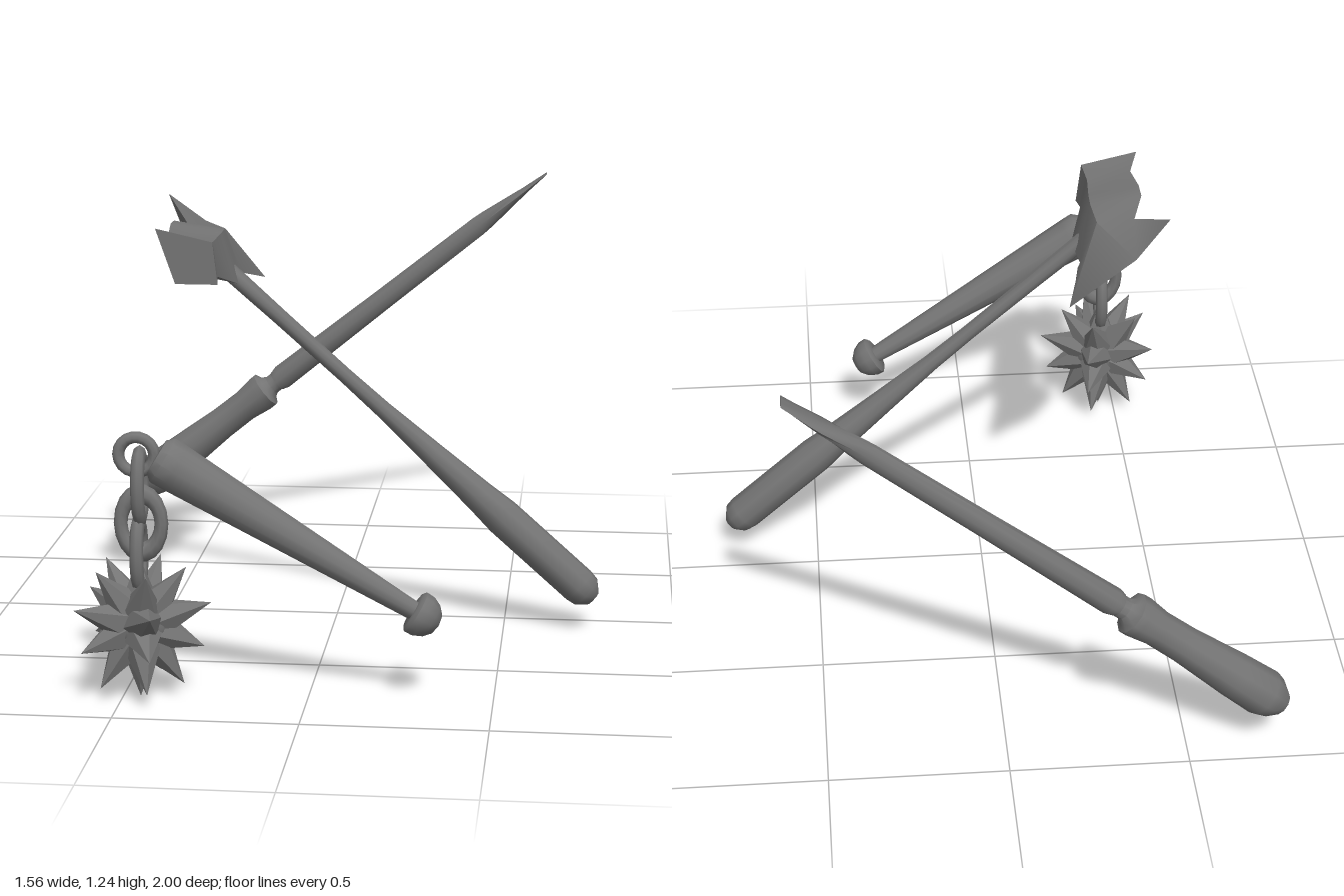
import * as THREE from 'three';
import { toCreasedNormals } from 'three/addons/utils/BufferGeometryUtils.js';

const darkGrey = new THREE.MeshStandardMaterial({ color: 0x747474 });
const V = (x, y, z) => new THREE.Vector3(x, y, z);

function part(parent, name, geometry, crease = 0.8) {
  const mesh = new THREE.Mesh(toCreasedNormals(geometry, crease), darkGrey);
  mesh.name = name;
  parent.add(mesh);
  return mesh;
}

// Turned rod along +y; each ring is [height, radius, optional z radius]
function rod(rings, sides = 10) {
  const geo = new THREE.LatheGeometry(rings.map(([s, r]) => new THREE.Vector2(r, s)), sides);
  const p = geo.attributes.position;
  for (let i = 0; i < p.count; i++) {
    const [, r, rz] = rings[i % rings.length];
    if (rz) p.setZ(i, p.getZ(i) * rz / r);
  }
  return geo;
}

// Group standing at a point with its y axis along a direction
function along(parent, name, position, direction) {
  const g = new THREE.Group();
  g.name = name;
  g.position.copy(position);
  g.quaternion.setFromUnitVectors(V(0, 1, 0), direction.clone().normalize());
  parent.add(g);
  return g;
}

function buildScrewdriver(root) {
  const g = along(root, 'screwdriver', V(-0.715, 0.175, -0.93), V(1.295, 1.035, 0));
  part(g, 'screwdriverHandle', rod([
    [-0.062, 0], [-0.058, 0.035], [-0.02, 0.06], [0.01, 0.069], [0.12, 0.065], [0.3, 0.053], [0.4, 0.052],
    [0.465, 0.061], [0.49, 0.061], [0.5, 0.042], [0.515, 0.032], [0.54, 0.032]], 10));
  part(g, 'screwdriverShaft', rod([
    [0.535, 0], [0.537, 0.034], [0.56, 0.041, 0.036], [1.0, 0.035, 0.028], [1.38, 0.032, 0.021],
    [1.42, 0.029, 0.022], [1.53, 0.015, 0.036], [1.57, 0.01, 0.036], [1.658, 0.002, 0.029], [1.658, 0, 0]], 10));
}

function buildHammerAxe(root) {
  const g = along(root, 'hammerAxe', V(0.74, 0.12, 0.09), V(-1.015, 0.905, 0));
  part(g, 'hammerAxeHandle', rod([
    [-0.03, 0], [-0.028, 0.025], [0, 0.05], [0.03, 0.055], [0.33, 0.055], [0.42, 0.047],
    [0.6, 0.036], [0.8, 0.025], [0.95, 0.022], [1.2, 0.023], [1.42, 0.026], [1.42, 0]], 10));

  // Head: diamond sections from hammer face to blade [bottom, top, half width, z]
  const sections = [
    [1.40, 1.635, 0.08, 0.23], [1.415, 1.6, 0.066, 0.155], [1.36, 1.615, 0.078, 0.05],
    [1.36, 1.615, 0.08, -0.01], [1.37, 1.575, 0.066, -0.095]];
  const pts = [];
  for (const [s0, s1, w, z] of sections) {
    const m = 1.49;
    pts.push(w, m, z, 0, s1, z, -w, m, z, 0, s0, z);
  }
  // Cutting edge, bowed outward in the middle
  pts.push(0.001, 1.55, -0.297, 0, 1.684, -0.234, -0.001, 1.55, -0.297, 0, 1.306, -0.27);
  const index = [0, 1, 2, 0, 2, 3];
  for (let i = 0; i < sections.length; i++) {
    for (let j = 0; j < 4; j++) {
      const a = i * 4 + j, b = i * 4 + (j + 1) % 4;
      index.push(a, a + 4, b, b, a + 4, b + 4);
    }
  }
  const head = new THREE.BufferGeometry();
  head.setAttribute('position', new THREE.Float32BufferAttribute(pts, 3));
  head.setIndex(index);
  part(g, 'hammerAxeHead', head, 0.9);
}

function buildFlail(root) {
  const flail = new THREE.Group();
  flail.name = 'flail';
  root.add(flail);
  const start = V(-0.395, 0.668, 0.805), end = V(0.29, 0.252, 0.77);
  const dir = end.clone().sub(start), L = dir.length();
  const g = along(flail, 'flailGrip', start, dir);
  part(g, 'flailHandle', rod([
    [-0.01, 0], [-0.008, 0.052], [0.012, 0.069], [0.05, 0.068], [L, 0.026]], 12));
  // Mushroom pommel, flat towards the handle
  part(g, 'flailPommel', rod([
    [L - 0.008, 0], [L - 0.008, 0.052], [L, 0.062], [L + 0.022, 0.061], [L + 0.047, 0.049],
    [L + 0.065, 0.029], [L + 0.072, 0]], 12));

  // Chain links: [x, y, outer width, outer height, turned]
  const links = [
    [-0.455, 0.678, 0.065, 0.064, false], [-0.447, 0.592, 0.055, 0.112, true],
    [-0.445, 0.49, 0.074, 0.108, false], [-0.452, 0.405, 0.055, 0.112, true]];
  for (const [x, y, w, h, turned] of links) {
    const geo = new THREE.TorusGeometry(0.05, 0.017, 8, 18);
    geo.scale(w / 0.067, h / 0.067, 1.1);
    if (turned) geo.rotateY(Math.PI / 2);
    part(flail, 'chainLink', geo, 1.2).position.set(x, y, 0.812);
  }

  // Spiked ball: five-fold rings of spikes [height, radius, count]
  const ball = new THREE.Group();
  ball.name = 'spikedBall';
  ball.position.set(-0.453, 0.21, 0.812);
  flail.add(ball);
  part(ball, 'ballCore', new THREE.IcosahedronGeometry(0.085, 1));
  const rings = [[0.19, 0, 1], [0.162, 0.128, 5], [0.065, 0.195, 5], [-0.058, 0.176, 5], [-0.165, 0.12, 5], [-0.205, 0, 1]];
  for (const [y, r, n] of rings) {
    for (let k = 0; k < n; k++) {
      const a = k / n * Math.PI * 2;
      const tip = V(r * Math.cos(a), y, r * Math.sin(a));
      const h = tip.length() - 0.05;
      const spike = new THREE.ConeGeometry(0.058, h, 6);
      spike.translate(0, 0.05 + h / 2, 0);
      part(along(ball, 'spike', V(0, 0, 0), tip), 'spikeCone', spike);
    }
  }
}

export function createModel() {
  const root = new THREE.Group();
  root.name = 'weaponsAndTools';
  buildScrewdriver(root);
  buildHammerAxe(root);
  buildFlail(root);
  return root;
}
